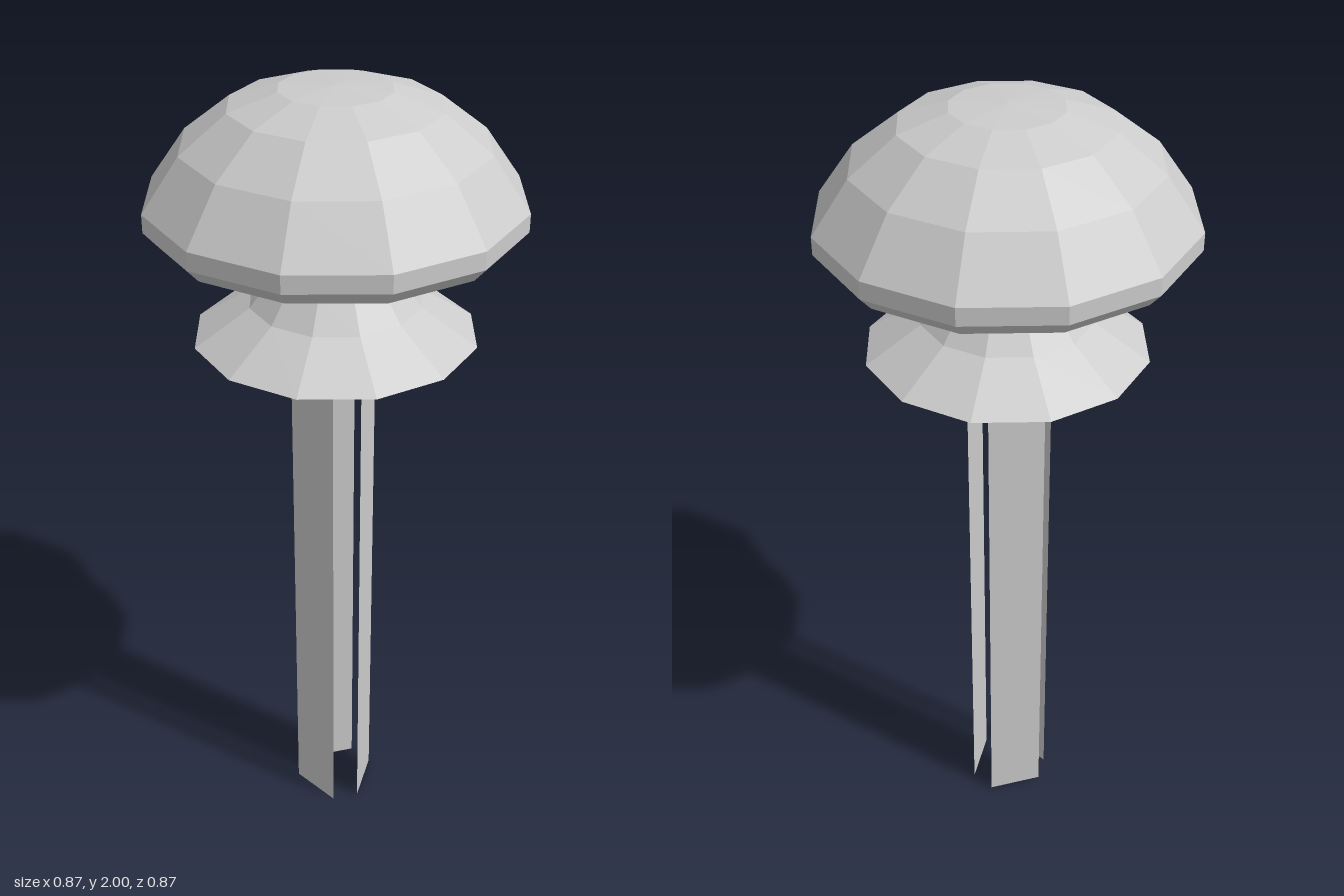
import * as THREE from 'three';

const SIDES = 12;

export function createModel() {
  const model = new THREE.Group();
  const paleGrey = new THREE.MeshStandardMaterial({
    color: 0xcccccc, flatShading: true, side: THREE.DoubleSide,
  });
  paleGrey.name = 'paleGrey';

  const addMesh = (name, geometry, parent = model) => {
    const mesh = new THREE.Mesh(geometry, paleGrey);
    mesh.name = name;
    parent.add(mesh);
    return mesh;
  };
  const lathe = (points) =>
    new THREE.LatheGeometry(points.map(([r, y]) => new THREE.Vector2(r, y)), SIDES);

  // Domed cap: hollow underside, rolled brim, faceted dome
  addMesh('cap', lathe([
    [0.18, 1.78], [0.31, 1.77], [0.365, 1.677], [0.405, 1.677],
    [0.434, 1.71], [0.434, 1.752], [0.348, 1.873], [0.24, 1.957],
    [0.128, 1.993], [0, 2],
  ]));

  // Open flared skirt rising into a straight neck
  addMesh('flaredNeck', lathe([
    [0.335, 1.415], [0.204, 1.5], [0.153, 1.565], [0.135, 1.612], [0.135, 1.685],
  ]));

  // Stepped collar under the cap
  addMesh('collar', lathe([
    [0.135, 1.685], [0.16, 1.69], [0.16, 1.72], [0.18, 1.725], [0.18, 1.78],
  ]));

  // Three thin upright slats around the centre line
  const stem = new THREE.Group();
  stem.name = 'stem';
  model.add(stem);
  const slatHeight = 1.6;
  for (let i = 0; i < 3; i++) {
    const slat = new THREE.PlaneGeometry(0.14, slatHeight);
    slat.translate(0, slatHeight / 2, 0.08);
    slat.rotateY((i * Math.PI * 2) / 3);
    addMesh('stemSlat' + (i + 1), slat, stem);
  }

  return model;
}
